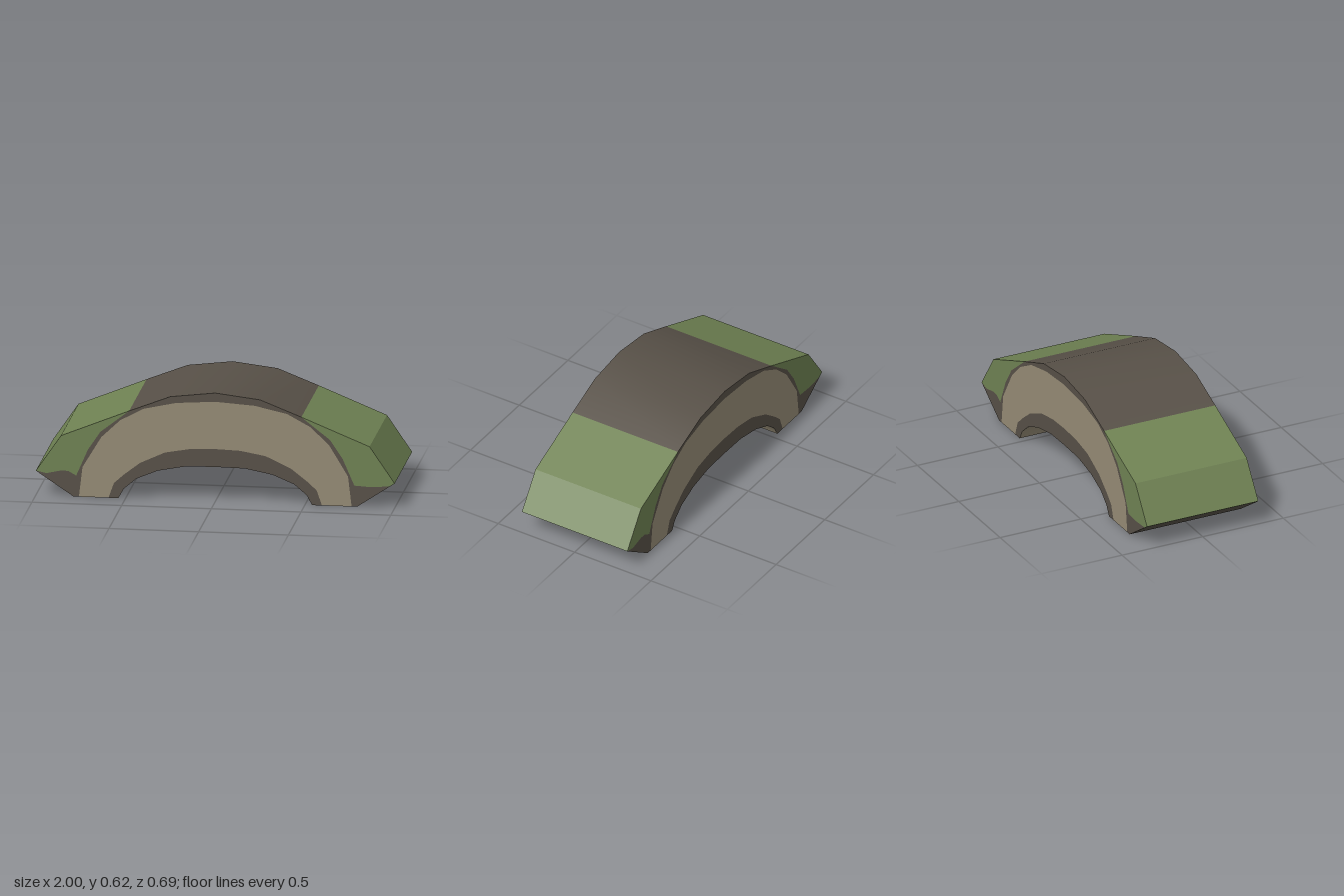
import * as THREE from 'three';

const D = 0.345; // half depth

const mat = (name, color) =>
  new THREE.MeshStandardMaterial({ name, color, side: THREE.DoubleSide });
const mirror = pts => pts.map(([x, y]) => [-x, y]).reverse();

// Sweeps an open profile straight through the depth, smooth along its length
function sweep(name, pts, material) {
  const pos = [], idx = [];
  pts.forEach(([x, y], i) => {
    pos.push(x, y, D, x, y, -D);
    if (i) {
      const a = 2 * i - 2;
      idx.push(a, a + 1, a + 2, a + 1, a + 3, a + 2);
    }
  });
  const g = new THREE.BufferGeometry();
  g.setAttribute('position', new THREE.Float32BufferAttribute(pos, 3));
  g.setIndex(idx);
  g.computeVertexNormals();
  const m = new THREE.Mesh(g, material);
  m.name = name;
  return m;
}

// Flat coloured region of an end face
function panel(name, pts, material) {
  const shape = new THREE.Shape(pts.map(p => new THREE.Vector2(...p)));
  const m = new THREE.Mesh(new THREE.ShapeGeometry(shape), material);
  m.position.z = D;
  m.name = name;
  return m;
}

export function createModel() {
  const model = new THREE.Group();
  model.name = 'archBridge';
  const grass = mat('grassGreen', 0x6f8253);
  const stone = mat('paleStone', 0x958b75);
  const trim = mat('darkStone', 0x575047);

  // Half profiles from the foot up to the crown
  const ringSide = [[0.79, 0], [0.775, 0.12], [0.71, 0.27], [0.64, 0.375], [0.48, 0.5]];
  const crown = [[0.48, 0.5], [0.25, 0.59], [0, 0.62]];
  const stoneOuter = [[0.76, 0], [0.74, 0.17], [0.635, 0.345], [0.53, 0.445],
    [0.4, 0.515], [0.22, 0.555], [0, 0.57]];
  const stoneInner = [[0.595, 0], [0.565, 0.085], [0.51, 0.135], [0.42, 0.205],
    [0.28, 0.27], [0.14, 0.295], [0, 0.3]];
  const under = [[0.54, 0], [0.51, 0.055], [0.44, 0.115], [0.32, 0.165], [0.165, 0.195], [0, 0.198]];
  const whole = half => [...half, ...mirror(half).slice(1)];

  // Top of the arch and its underside
  model.add(sweep('archTop', whole(crown), trim));
  model.add(sweep('archUnderside', whole(under).reverse(), stone));

  // Grassy bank planes and inner walls on both sides
  const planes = [
    ['bankBase', [[0.79, 0], [0.99, 0.134]], trim],
    ['bankLip', [[0.99, 0.134], [1, 0.14]], grass],
    ['bankSide', [[1, 0.14], [0.86, 0.345]], grass],
    ['bankTop', [[0.86, 0.345], [0.48, 0.5]], grass],
    ['innerWallBase', ringSide.slice(0, 2), trim],
    ['innerWall', ringSide.slice(1), grass],
  ];
  for (const [name, pts, m] of planes) {
    model.add(sweep(name + 'Left', pts, m));
    model.add(sweep(name + 'Right', mirror(pts), m));
  }

  // End faces: the back is the front turned half round
  const band = (a, b) => [...whole(a), ...whole(b).reverse()];
  const footLeft = [[1, 0.14], [0.97, 0.122], [0.86, 0.115], [0.775, 0.12]];
  const footRight = [[-1, 0.14], [-0.94, 0.128], [-0.86, 0.146], [-0.82, 0.145], [-0.775, 0.12]];
  const ringLeft = ringSide.slice(1), ringRight = ringLeft.map(([x, y]) => [-x, y]);
  for (const side of ['front', 'back']) {
    const face = new THREE.Group();
    face.name = side + 'Face';
    face.add(panel('stoneBand', band(stoneOuter, stoneInner), stone));
    face.add(panel('outerRim', band([...ringSide, ...crown.slice(1)], stoneOuter), trim));
    face.add(panel('innerRim', band(stoneInner, under), trim));
    face.add(panel('footLeft', [[0.79, 0], ...footLeft], trim));
    face.add(panel('footRight', [[-0.79, 0], ...footRight], trim));
    face.add(panel('bankLeft', [[0.86, 0.345], ...footLeft, ...ringLeft.slice(1)], grass));
    face.add(panel('bankRight', [[-0.86, 0.345], ...footRight, ...ringRight.slice(1)], grass));
    if (side === 'back') face.rotation.y = Math.PI;
    model.add(face);
  }
  return model;
}
